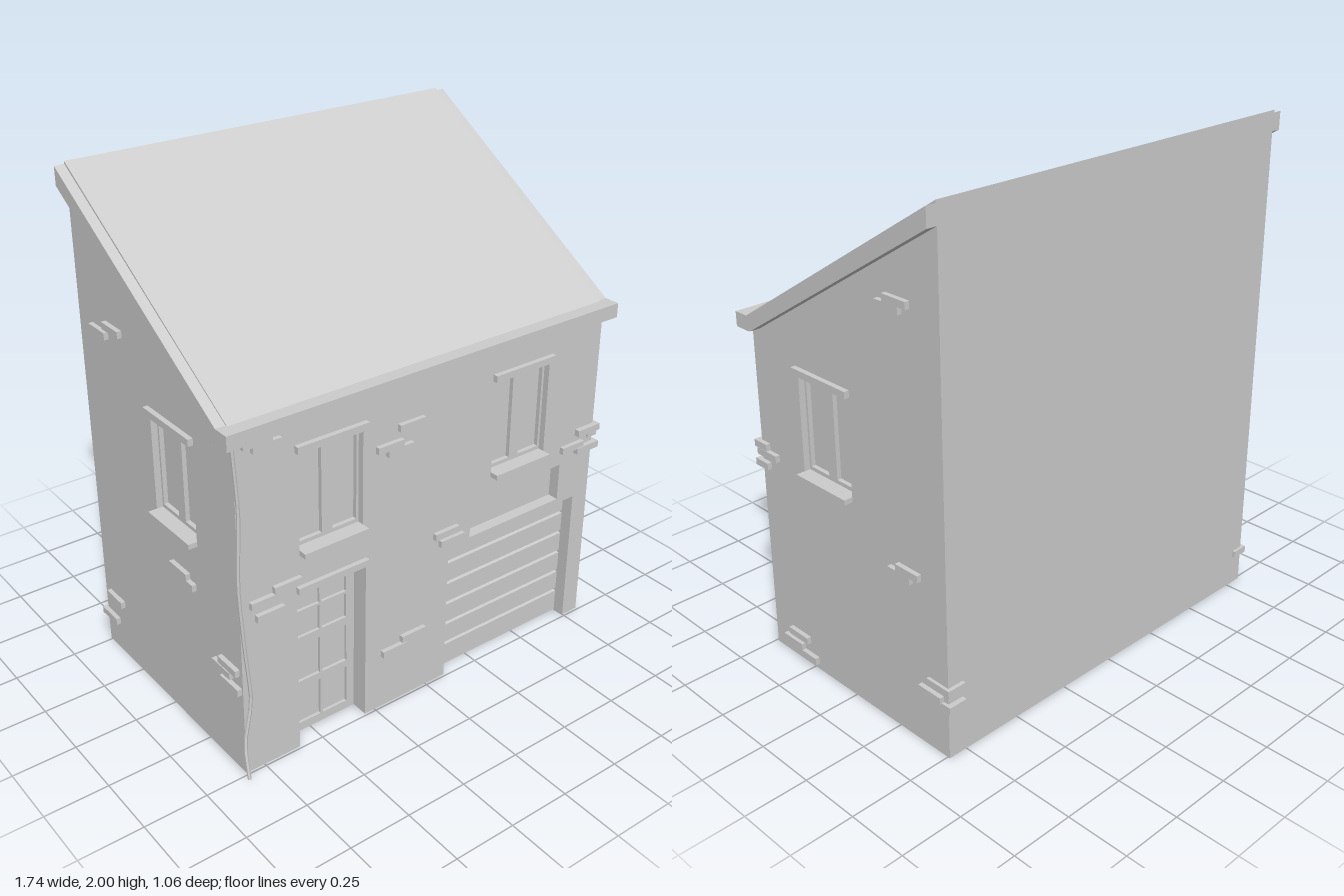
import * as THREE from 'three';

const MAT = new THREE.MeshStandardMaterial({ color: 0xcccccc, flatShading: true });
const HW = 0.828, FRONT = 0.49, BACK = -0.51, T = 0.07;

const add = (parent, name, geo) => {
  const m = new THREE.Mesh(geo, MAT);
  m.name = name;
  parent.add(m);
  return m;
};

// box given by its min / max on each axis
const box = (parent, name, x0, x1, y0, y1, z0, z1) => {
  const g = new THREE.BoxGeometry(x1 - x0, y1 - y0, z1 - z0);
  g.translate((x0 + x1) / 2, (y0 + y1) / 2, (z0 + z1) / 2);
  return add(parent, name, g);
};

const poly = (pts) => new THREE.Shape(pts.map(([a, b]) => new THREE.Vector2(a, b)));
const rect = (x0, x1, y0, y1) => new THREE.Path(
  [[x0, y0], [x1, y0], [x1, y1], [x0, y1]].map(([a, b]) => new THREE.Vector2(a, b)));

// outline with rectangular holes in x/y, occupying z0..z1
const plate = (outline, holes, z0, z1) => {
  const s = poly(outline);
  s.holes = holes.map((h) => rect(...h));
  return new THREE.ExtrudeGeometry(s, { depth: z1 - z0, bevelEnabled: false }).translate(0, 0, z0);
};
const rectPts = (x0, x1, y0, y1) => [[x0, y0], [x1, y0], [x1, y1], [x0, y1]];

// outline in z/y, swept from x0 to x1
const sweepX = (outline, holes, x0, x1) =>
  plate(outline, holes, 0, x1 - x0).rotateY(-Math.PI / 2).translate(x1, 0, 0);

// window facing local +z with the wall surface at z = 0
function makeWindow(name) {
  const g = new THREE.Group();
  g.name = name;
  add(g, 'windowFrame', plate(rectPts(-0.137, 0.137, 0.843, 1.227),
    [[-0.125, -0.023, 0.86, 1.21], [0.023, 0.125, 0.86, 1.21]], -0.05, -0.025));
  box(g, 'glass', -0.135, 0.135, 0.845, 1.225, -0.065, -0.042);
  box(g, 'lintel', -0.148, 0.148, 1.225, 1.252, -0.03, 0.02);
  box(g, 'sill', -0.136, 0.136, 0.825, 0.845, -0.04, 0.035);
  return g;
}

export function createModel() {
  const model = new THREE.Group();
  model.name = 'house';

  // front wall with door and garage notches, windows and sign recess
  add(model, 'frontWall', plate([
    [-HW, 0], [-0.595, 0], [-0.595, 0.69], [-0.295, 0.69], [-0.295, 0], [0.095, 0],
    [0.095, 0.575], [0.75, 0.575], [0.75, 0], [HW, 0], [HW, 1.36], [-HW, 1.36]],
  [[-0.58, -0.31, 0.845, 1.225], [0.293, 0.563, 0.845, 1.225], [0.2, 0.66, 0.595, 0.75]],
  FRONT - T, FRONT));

  // side walls following the roof slope
  const side = [[BACK, 0], [FRONT - T, 0], [FRONT - T, 1.38], [BACK, 1.96]];
  for (const s of [-1, 1]) {
    const x = s > 0 ? HW - T : -HW;
    add(model, 'sideWall', sweepX(side, [[-0.035, 0.235, 0.845, 1.225]], x, x + T));
  }
  box(model, 'backWall', -HW, HW, 0, 1.96, BACK, BACK + 0.03);
  box(model, 'floor', -HW, HW, 0, 0.02, BACK, FRONT - T);

  // roof slab, sloping edge boards and front fascia
  add(model, 'roof', sweepX([[0.47, 1.35], [0.47, 1.39], [BACK, 2], [BACK, 1.95]], [], -HW - 0.003, HW + 0.003));
  for (const x of [-0.87, 0.828]) {
    add(model, 'roofEdgeBoard', sweepX([[0.445, 1.335], [0.47, 1.385], [BACK, 1.99], [BACK, 1.92]], [], x, x + 0.042));
  }
  box(model, 'fascia', -0.87, 0.87, 1.333, 1.39, 0.45, 0.525);

  // windows on front and both sides
  for (const x of [-0.445, 0.428]) {
    const w = makeWindow('frontWindow');
    w.position.set(x, 0, FRONT);
    model.add(w);
  }
  for (const s of [-1, 1]) {
    const w = makeWindow('sideWindow');
    w.position.set(s * HW, 0, 0.1);
    w.rotation.y = s * Math.PI / 2;
    model.add(w);
  }

  // front door: framed panels with a four-pane window
  const door = new THREE.Group();
  door.name = 'frontDoor';
  const holes = [];
  for (const x of [-0.56, -0.44]) {
    for (const [y0, y1] of [[0.42, 0.525], [0.535, 0.64], [0.225, 0.385], [0.035, 0.195]])
      holes.push([x, x + 0.11, y0, y1]);
  }
  add(door, 'doorFrame', plate(rectPts(-0.597, -0.293, 0, 0.69), holes, 0.405, 0.42));
  box(door, 'doorPanels', -0.595, -0.295, 0, 0.69, 0.385, 0.408);
  box(door, 'doorLintel', -0.597, -0.293, 0.676, 0.702, 0.42, 0.508);
  model.add(door);

  // garage door: slats split by grooves
  const profile = [[0.4, 0], [0.44, 0]];
  for (const y of [0.1, 0.195, 0.29, 0.385, 0.48])
    profile.push([0.44, y - 0.007], [0.425, y - 0.004], [0.425, y + 0.004], [0.44, y + 0.007]);
  profile.push([0.44, 0.577], [0.4, 0.577]);
  add(model, 'garageDoor', sweepX(profile, [], 0.093, 0.752));
  box(model, 'signPanel', 0.198, 0.662, 0.593, 0.752, 0.415, 0.445);

  // loose cable down the left of the facade
  const cable = new THREE.CatmullRomCurve3([
    [-0.835, 1.34, 0.495], [-0.82, 1.08, 0.495], [-0.832, 0.8, 0.495], [-0.818, 0.55, 0.495],
    [-0.8, 0.32, 0.495], [-0.832, 0.14, 0.496], [-0.838, 0.003, 0.525],
  ].map((p) => new THREE.Vector3(...p)), false, 'catmullrom', 0.3);
  add(model, 'cable', new THREE.TubeGeometry(cable, 24, 0.007, 6));

  // protruding bricks, front: [x, y] of the lower corner
  const L = 0.113, H = 0.027, P = 0.018;
  for (const [x, y] of [
    [-0.8, 1.307], [-0.763, 1.283], [-0.16, 1.166], [-0.255, 1.108], [-0.21, 1.083],
    [-0.695, 0.72], [-0.79, 0.694], [-0.768, 0.634], [0.018, 0.655], [0.045, 0.615],
    [-0.132, 0.264], [-0.222, 0.234], [0.655, 0.803],
  ]) box(model, 'frontBrick', x, x + L, y, y + H, FRONT - 0.03, FRONT + P);

  // right side: [z, y]
  for (const [z, y] of [
    [-0.373, 1.627], [-0.335, 1.6], [-0.387, 0.662], [-0.345, 0.636], [-0.487, 0.222],
    [0.27, 0.097], [0.307, 0.053], [0.223, 0.027], [0.385, 0.829],
  ]) box(model, 'rightBrick', HW - 0.03, HW + P, y, y + H, z, z + L);

  // left side: [z, y]
  for (const [z, y] of [
    [-0.31, 1.45], [-0.41, 1.41], [0.06, 0.655], [0.1, 0.63], [0.36, 0.42],
    [0.32, 0.387], [0.37, 0.345], [-0.47, 0.235],
  ]) box(model, 'leftBrick', -HW - P, -HW + 0.03, y, y + H, z, z + L);

  // bricks wrapping the corners
  for (const y of [0.857, 0.78]) box(model, 'cornerBrick', 0.732, HW + P, y, y + H, 0.44, FRONT + 0.022);
  for (const [z, y] of [[-0.525, 0.265], [-0.53, 0.2]])
    box(model, 'cornerBrick', 0.762, HW + P - 0.006, y, y + H, z, z + L);
  box(model, 'cornerBrick', -HW - P, -0.775, 0.128, 0.155, -0.522, -0.41);

  return model;
}
